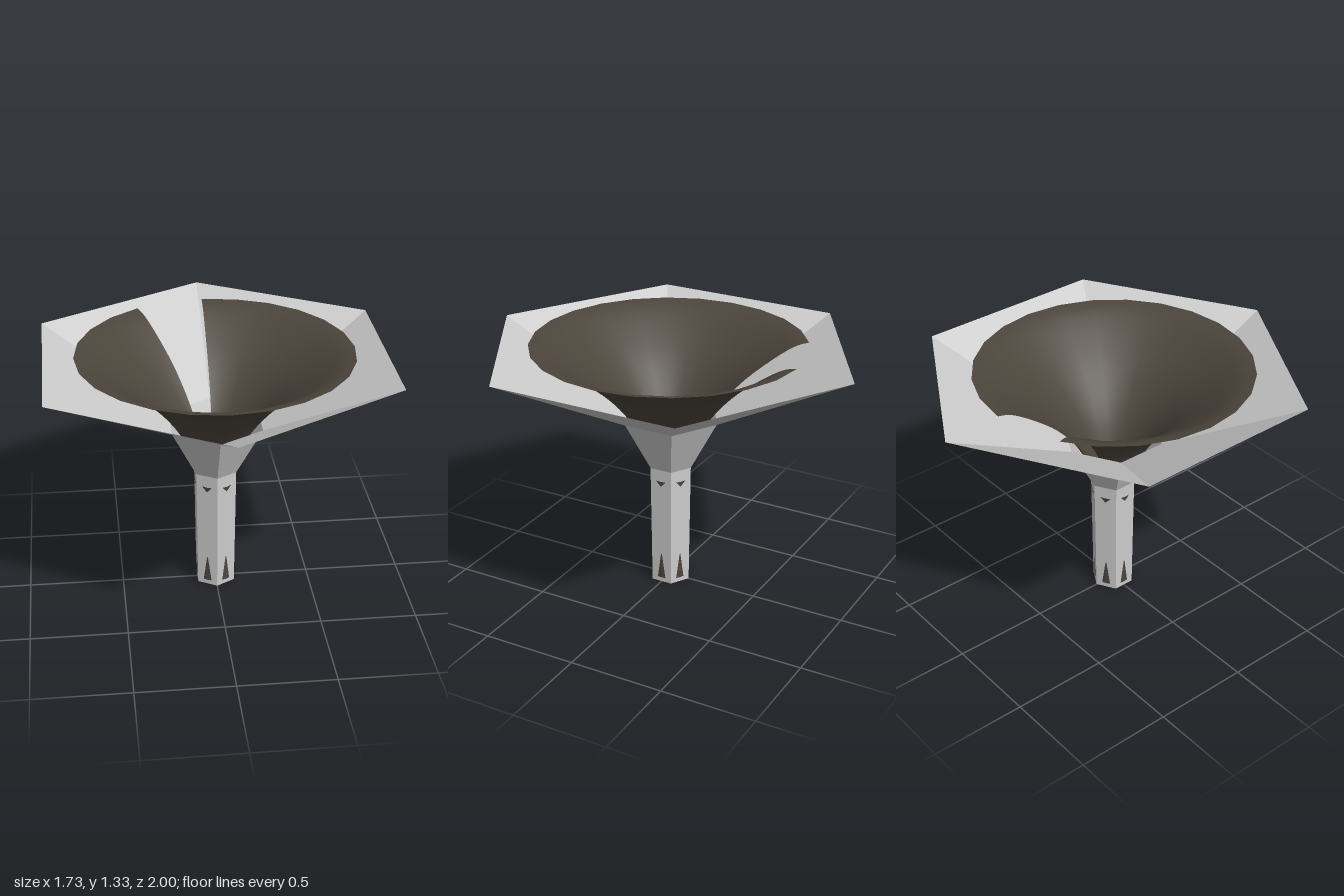
import * as THREE from 'three';

const points = (rows) => rows.map(([r, y]) => new THREE.Vector2(r, y));
const rad = THREE.MathUtils.degToRad;

export function createModel() {
  const group = new THREE.Group();
  const paleGrey = new THREE.MeshStandardMaterial({ color: 0xcccccc, side: THREE.DoubleSide });
  const darkBrown = new THREE.MeshStandardMaterial({ color: 0x4c453c, side: THREE.DoubleSide });
  paleGrey.name = 'paleGrey';
  darkBrown.name = 'darkBrown';

  const add = (name, geometry, material) => {
    const mesh = new THREE.Mesh(geometry, material);
    mesh.name = name;
    group.add(mesh);
    return mesh;
  };

  // Six-sided faceted shell: hollow stem, collar and wide funnel
  const shell = new THREE.LatheGeometry(
    points([[0.112, 0], [0.121, 0.665], [0.268, 0.94], [1, 1.31]]), 6).toNonIndexed();
  shell.computeVertexNormals();
  add('outerShell', shell, paleGrey);

  // Inner tube, pinched in the middle, whose ends just break through the stem faces
  add('innerTube', new THREE.LatheGeometry(
    points([[0.1003, 0.025], [0.0993, 0.165], [0.087, 0.4], [0.087, 0.445], [0.1037, 0.57], [0.1077, 0.6]]),
    24), darkBrown);

  // Smooth flared bell with a 30 degree slot at the back
  const flare = new THREE.SplineCurve(points([
    [0.092, 0.6], [0.105, 0.68], [0.14, 0.79], [0.22, 0.94],
    [0.355, 1.1], [0.5, 1.22], [0.63, 1.305], [0.71, 1.33]]));
  const bell = add('innerBell',
    new THREE.LatheGeometry(flare.getPoints(28), 22, rad(210), rad(330)), darkBrown);
  // Lean the bell slightly forward towards its rim
  const p = bell.geometry.attributes.position;
  for (let i = 0; i < p.count; i++) {
    p.setZ(i, p.getZ(i) + 0.01 * Math.max(0, (p.getY(i) - 0.7) / 0.63));
  }

  return group;
}
